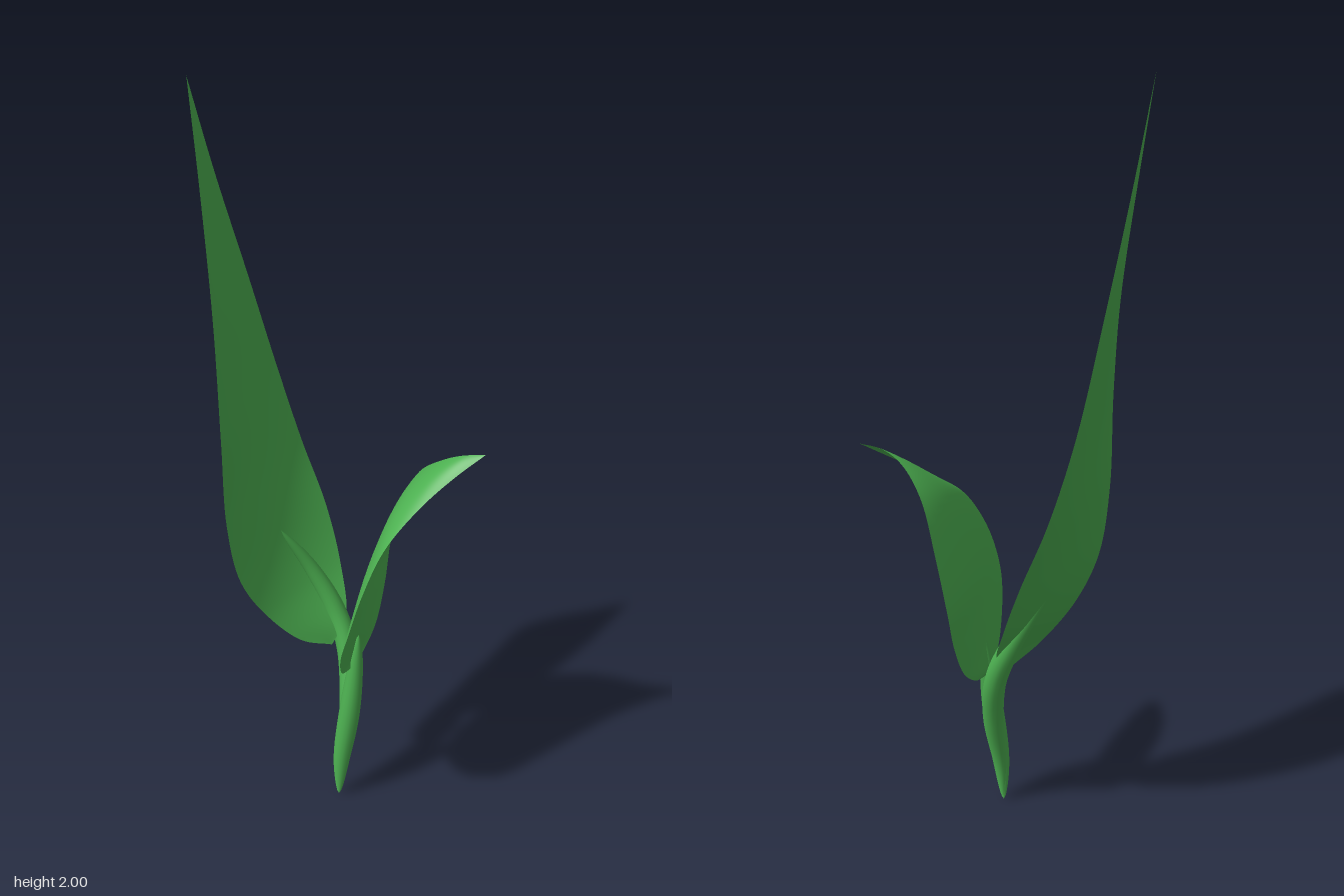
import * as THREE from 'three';

const material = new THREE.MeshStandardMaterial({ color: 0x4caf50, side: THREE.DoubleSide });

const curve = (points) => new THREE.CatmullRomCurve3(points.map((p) => new THREE.Vector3(...p)), false, 'centripetal');

// Leaf blade: a sheet spanned between its two edge curves, bowed along the middle
function makeLeaf(name, leftEdge, rightEdge, bow) {
  const left = curve(leftEdge), right = curve(rightEdge);
  const rows = 64, cols = 16, positions = [], index = [];
  const push = new THREE.Vector3(...bow), p = new THREE.Vector3();
  for (let i = 0; i <= rows; i++) {
    const u = i / rows;
    const a = left.getPoint(u), b = right.getPoint(u);
    for (let j = 0; j <= cols; j++) {
      const v = j / cols;
      p.lerpVectors(a, b, v).addScaledVector(push, 4 * v * (1 - v) * Math.sin(Math.PI * u));
      positions.push(p.x, p.y, p.z);
      if (i < rows && j < cols) {
        const k = i * (cols + 1) + j, n = k + cols + 1;
        index.push(k, k + 1, n + 1, k, n + 1, n);
      }
    }
  }
  const geometry = new THREE.BufferGeometry();
  geometry.setAttribute('position', new THREE.Float32BufferAttribute(positions, 3));
  geometry.setIndex(index);
  geometry.computeVertexNormals();
  const mesh = new THREE.Mesh(geometry, material);
  mesh.name = name;
  return mesh;
}

// Stem: a round tube that narrows to a point at both ends
function makeStem(name, points, radius) {
  const path = curve(points), segments = 48, sides = 16;
  const geometry = new THREE.TubeGeometry(path, segments, radius, sides);
  const pos = geometry.attributes.position, p = new THREE.Vector3();
  for (let i = 0; i <= segments; i++) {
    const u = i / segments, centre = path.getPointAt(u);
    const taper = Math.pow(Math.max(0, Math.sin(Math.PI * u)), 0.6);
    for (let j = 0; j <= sides; j++) {
      const k = i * (sides + 1) + j;
      p.fromBufferAttribute(pos, k).sub(centre).multiplyScalar(taper).add(centre);
      pos.setXYZ(k, p.x, p.y, p.z);
    }
  }
  const mesh = new THREE.Mesh(geometry, material);
  mesh.name = name;
  return mesh;
}

export function createModel() {
  const plant = new THREE.Group();
  plant.name = 'seedling';

  // Tall leaf at the back
  plant.add(makeLeaf('tallLeaf',
    [[0.04, 0.45, -0.012], [-0.06, 0.5, -0.03], [-0.15, 0.6, -0.068], [-0.22, 0.72, -0.085], [-0.265, 0.9, -0.08],
      [-0.285, 1.15, -0.068], [-0.272, 1.45, -0.1], [-0.238, 1.75, -0.175], [-0.2, 2, -0.257]],
    [[0.04, 0.45, -0.012], [0.11, 0.5, -0.03], [0.165, 0.62, -0.11], [0.18, 0.77, -0.185], [0.155, 0.95, -0.255],
      [0.107, 1.17, -0.3], [0.01, 1.45, -0.297], [-0.11, 1.75, -0.274], [-0.2, 2, -0.257]],
    [-0.008, 0, -0.015]));

  // Short leaf leaning forward
  plant.add(makeLeaf('shortLeaf',
    [[0.07, 0.41, 0.055], [0, 0.43, 0.09], [-0.08, 0.49, 0.15], [-0.14, 0.59, 0.21], [-0.145, 0.67, 0.24],
      [-0.1, 0.77, 0.243], [-0.02, 0.87, 0.24], [0.1, 0.95, 0.247], [0.2, 1.01, 0.27], [0.28, 1.06, 0.302]],
    [[0.07, 0.41, 0.055], [0.13, 0.425, 0.03], [0.19, 0.47, 0.01], [0.245, 0.57, -0.012], [0.278, 0.68, -0.025],
      [0.275, 0.82, 0.02], [0.25, 0.95, 0.1], [0.236, 1.02, 0.19], [0.25, 1.05, 0.25], [0.28, 1.06, 0.302]],
    [-0.008, 0.01, -0.015]));

  // Stems share one foot, and each runs up into the middle of its leaf
  plant.add(makeStem('shortStem',
    [[0.003, 0, 0.057], [0.008, 0.12, 0.062], [0.025, 0.27, 0.073], [0.047, 0.42, 0.074], [0.056, 0.515, 0.077]], 0.029));
  plant.add(makeStem('tallStem',
    [[0.003, 0, 0.057], [0.02, 0.13, 0.055], [0.06, 0.28, 0.038], [0.09, 0.42, -0.002], [0.088, 0.53, -0.052],
      [0.05, 0.65, -0.105], [-0.02, 0.775, -0.15]], 0.03));

  return plant;
}
